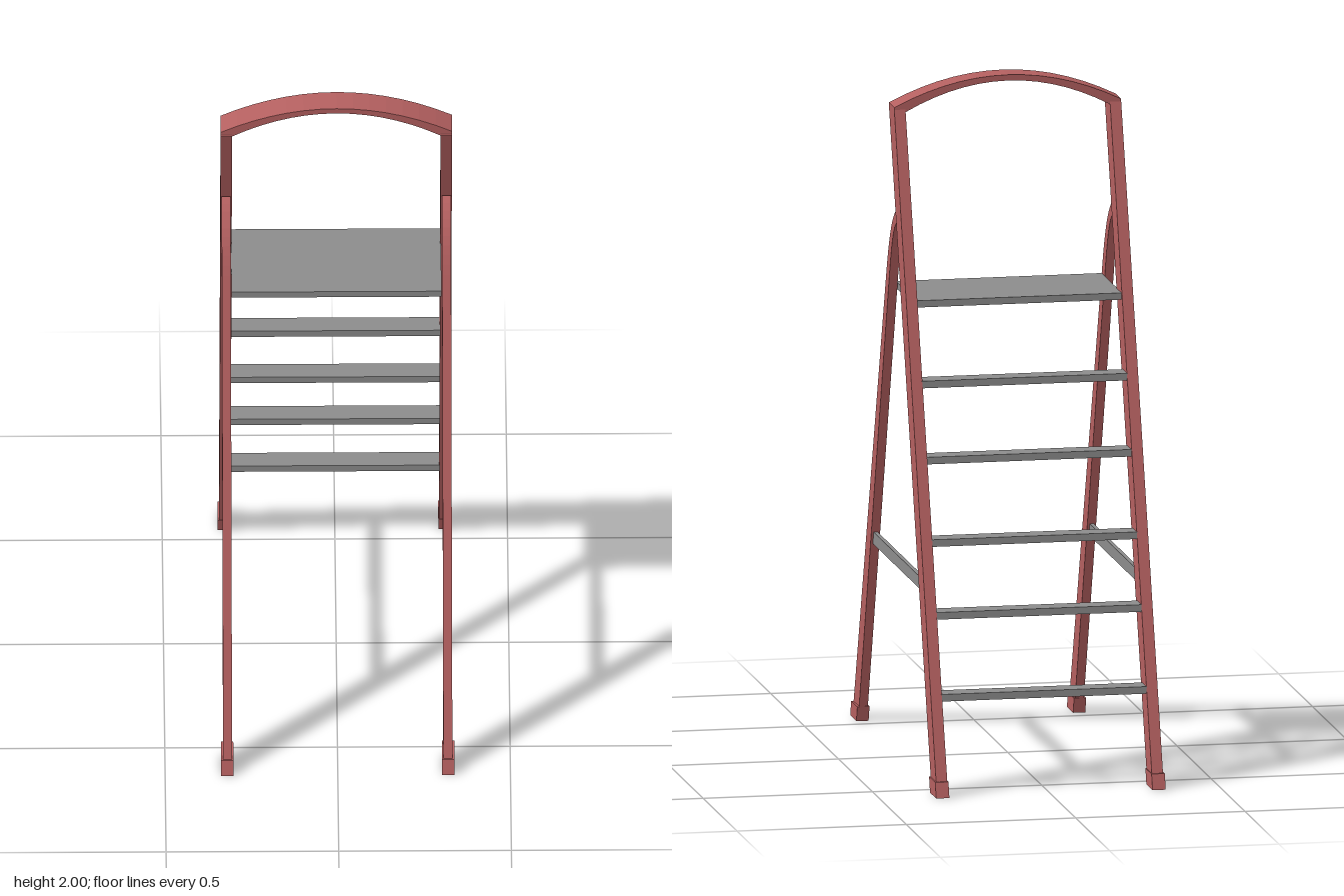
import * as THREE from 'three';

export function createModel() {
  const ladder = new THREE.Group();
  ladder.name = 'stepLadder';
  const red = new THREE.MeshStandardMaterial({ color: 0xb46060 });
  red.name = 'red frame';
  const grey = new THREE.MeshStandardMaterial({ color: 0x8c8c8c });
  grey.name = 'grey metal';

  const add = (name, geometry, material) => {
    const mesh = new THREE.Mesh(geometry, material);
    mesh.name = name;
    ladder.add(mesh);
    return mesh;
  };

  // Side profile drawn in (z, y), extruded between x0 and x1
  const sidePart = (name, shape, x0, x1, material) => {
    const g = new THREE.ExtrudeGeometry(shape, { depth: x1 - x0, bevelEnabled: false, curveSegments: 10 });
    g.rotateY(-Math.PI / 2).translate(x1, 0, 0);
    add(name, g, material);
  };
  const polygon = (pts) => new THREE.Shape(pts.map(([z, y]) => new THREE.Vector2(z, y)));

  // Sloping rear rail that carries the steps
  const slope = 0.633 / 1.915;
  const railShape = polygon([
    [-0.63, 0], [-0.55, 0], [-0.55 + slope * 1.91, 1.91], [-0.63 + slope * 1.91, 1.91],
  ]);

  // Front leg with its upper end curving back to the rail
  const legShape = new THREE.Shape();
  legShape.moveTo(0.55, 0);
  legShape.lineTo(0.632, 0);
  legShape.lineTo(0.135, 1.4);
  legShape.bezierCurveTo(0.1, 1.5, 0.06, 1.58, -0.01, 1.615);
  legShape.lineTo(-0.025, 1.583);
  legShape.bezierCurveTo(0.035, 1.56, 0.06, 1.49, 0.095, 1.385);
  legShape.closePath();

  // Rubberless end caps, following the slope of each leg
  const footShape = (s) => polygon([
    [s * 0.545, 0], [s * 0.636, 0], [s * 0.622, 0.045], [s * 0.531, 0.045],
  ]);

  for (const side of [1, -1]) {
    const label = side > 0 ? 'left' : 'right';
    const span = (a, b) => (side > 0 ? [a, b] : [-b, -a]);
    sidePart(label + 'RearRail', railShape, ...span(0.302, 0.335), red);
    sidePart(label + 'FrontLeg', legShape, ...span(0.306, 0.332), red);
    sidePart(label + 'RearFoot', footShape(-1), ...span(0.3, 0.339), red);
    sidePart(label + 'FrontFoot', footShape(1), ...span(0.302, 0.338), red);

    // Flat brace joining front leg and rear rail
    add(label + 'Brace', new THREE.BoxGeometry(0.012, 0.036, 0.76), grey)
      .position.set(side * 0.319, 0.576, 0);
  }

  // Arched handle across the rail tops
  const arch = new THREE.Shape();
  arch.moveTo(0.335, 1.9);
  arch.lineTo(0.335, 1.916);
  arch.quadraticCurveTo(0, 2.084, -0.335, 1.916);
  arch.lineTo(-0.335, 1.9);
  arch.lineTo(-0.304, 1.9);
  arch.quadraticCurveTo(0, 2.066, 0.304, 1.9);
  arch.closePath();
  const archGeometry = new THREE.ExtrudeGeometry(arch, { depth: 0.08, bevelEnabled: false, curveSegments: 14 });
  add('handle', archGeometry.translate(0, 0, 0.001), red);

  // Treads, centred on the rail slope
  const treads = [[0.276, -0.505], [0.503, -0.429], [0.705, -0.363], [0.933, -0.283], [1.145, -0.218]];
  treads.forEach(([y, z], i) => {
    add('step' + (i + 1), new THREE.BoxGeometry(0.608, 0.021, 0.063), grey).position.set(0, y, z);
  });

  // Standing platform
  add('platform', new THREE.BoxGeometry(0.608, 0.02, 0.302), grey).position.set(0, 1.367, -0.016);

  return ladder;
}
